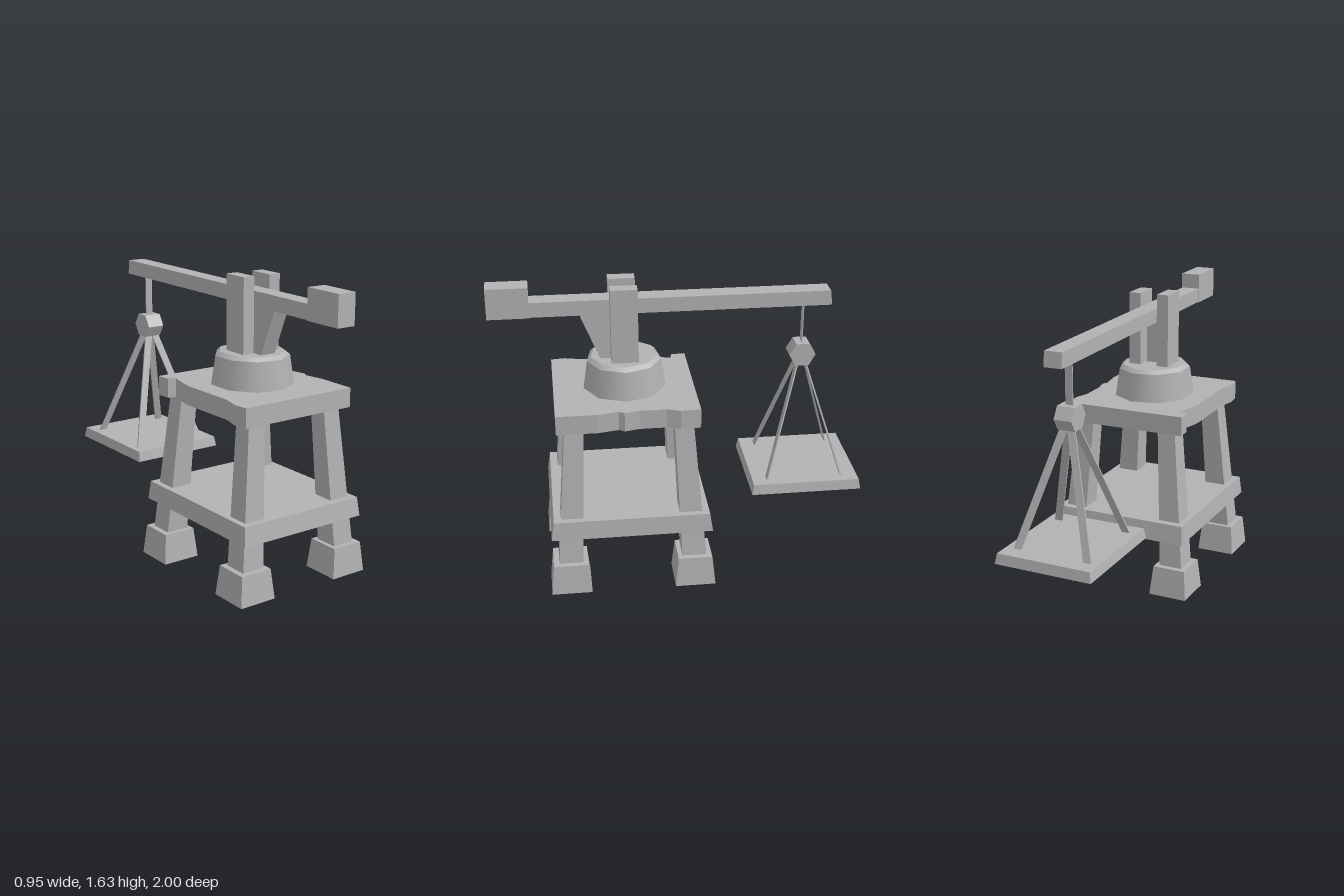
import * as THREE from 'three';

const stone = new THREE.MeshStandardMaterial({ color: 0xb2b2b2, side: THREE.DoubleSide });
stone.name = 'plain grey';

// The whole crane is turned slightly and its levels sag a little towards +x.
const TURN = -0.122;
const place = new THREE.Matrix4().makeTranslation(-0.006, 0, 0.3)
  .multiply(new THREE.Matrix4().makeShear(-0.02, 0, 0, 0, 0, 0))
  .multiply(new THREE.Matrix4().makeRotationY(TURN));

// Tapered block: bottom and top are [centreX, y, centreZ, width, depth]; open leaves the underside off.
function block(bottom, top, open = false) {
  const geo = new THREE.BoxGeometry(1, 1, 1);
  const p = geo.attributes.position;
  for (let i = 0; i < p.count; i++) {
    const [x, y, z, w, d] = p.getY(i) > 0 ? top : bottom;
    p.setXYZ(i, x + p.getX(i) * w, y, z + p.getZ(i) * d);
  }
  if (open) {
    const index = Array.from(geo.index.array);
    index.splice(18, 6);
    geo.setIndex(index);
    geo.clearGroups();
  }
  geo.computeVertexNormals();
  return geo;
}

// Upright block with the same section all the way up.
function box(x0, x1, y0, y1, z0, z1) {
  const s = [x1 - x0, z1 - z0];
  const x = (x0 + x1) / 2, z = (z0 + z1) / 2;
  return block([x, y0, z, ...s], [x, y1, z, ...s]);
}

export function createModel() {
  const model = new THREE.Group();
  model.name = 'balanceCrane';
  const add = (name, geo) => {
    const mesh = new THREE.Mesh(geo.applyMatrix4(place), stone);
    mesh.name = name;
    model.add(mesh);
  };

  // Hollow feet and leaning legs
  for (const sx of [-1, 1]) {
    for (const sz of [-1, 1]) {
      const x = sx * 0.313, z = sz * 0.337;
      add('foot', block([x, 0.01, z, 0.218, 0.218], [x, 0.175, z, 0.185, 0.185], true));
      add('leg', block([x, 0.13, z, 0.132, 0.132], [sx * 0.245, 0.97, sz * 0.286, 0.1, 0.1], true));
    }
  }

  // Lower shelf, open underneath
  add('shelf', block([0, 0.332, 0, 0.782, 0.866], [0, 0.435, 0, 0.764, 0.836], true));

  // Worn table top with chipped long sides
  const outline = [
    [-0.346, -0.376], [0.346, -0.376], [0.35, -0.27], [0.325, -0.2], [0.325, -0.06],
    [0.343, 0.02], [0.325, 0.05], [0.346, 0.16], [0.346, 0.376], [-0.346, 0.376],
    [-0.355, 0.3], [-0.33, 0.2], [-0.335, -0.12], [-0.325, -0.18], [-0.295, -0.29], [-0.34, -0.3],
  ];
  const shape = new THREE.Shape(outline.map(([x, z]) => new THREE.Vector2(x, -z)));
  const table = new THREE.ExtrudeGeometry(shape, { depth: 0.105, bevelEnabled: false });
  add('tableTop', table.rotateX(-Math.PI / 2).translate(-0.006, 0.936, 0.006));

  // Nine-sided turning base with a bevelled cap
  const ringX = -0.012;
  add('turningBase', new THREE.CylinderGeometry(0.2, 0.223, 0.155, 9, 1, true, 0.166)
    .translate(ringX, 1.1175, 0));
  add('turningBaseCap', new THREE.CylinderGeometry(0.178, 0.2, 0.02, 9, 1, false, 0.166)
    .translate(ringX, 1.205, 0));

  // Twin posts either side of the beam
  for (const s of [-1, 1]) {
    const x = -0.008 + s * 0.084;
    add('post', box(x - 0.034, x + 0.034, 1.2, 1.618, -0.071, 0.071));
  }

  // Wedge brace under the beam
  add('brace', block([-0.008, 1.2, 0.06, 0.09, 0.12], [-0.008, 1.47, 0.115, 0.09, 0.23]));

  // Beam and counterweight
  add('beam', block([-0.008, 1.463, -0.203, 0.1, 1.806], [-0.008, 1.543, -0.198, 0.1, 1.796]));
  add('counterweight', box(-0.062, 0.046, 1.461, 1.626, 0.484, 0.702));

  // Flat hanger strap and six-sided hub
  const hx = -0.014, hz = -0.962;
  add('hangerStrap', box(hx - 0.021, hx + 0.021, 1.2, 1.47, hz - 0.003, hz + 0.003));
  const hub = new THREE.CylinderGeometry(0.072, 0.072, 0.1, 6).toNonIndexed();
  hub.rotateZ(Math.PI / 2).translate(hx, 1.178, hz).computeVertexNormals();
  add('hub', hub);

  // Four flat straps spreading down to the tray
  for (const sx of [-1, 1]) {
    for (const sz of [-1, 1]) {
      add('trayStrap', block(
        [-0.02 + sx * 0.207, 0.495, -0.968 + sz * 0.212, 0.044, 0.008],
        [hx + sx * 0.01, 1.16, hz + sz * 0.012, 0.044, 0.008]));
    }
  }

  // Hanging tray, open underneath
  add('tray', block([-0.018, 0.457, -0.971, 0.55, 0.604], [-0.018, 0.513, -0.971, 0.532, 0.584], true));

  return model;
}
